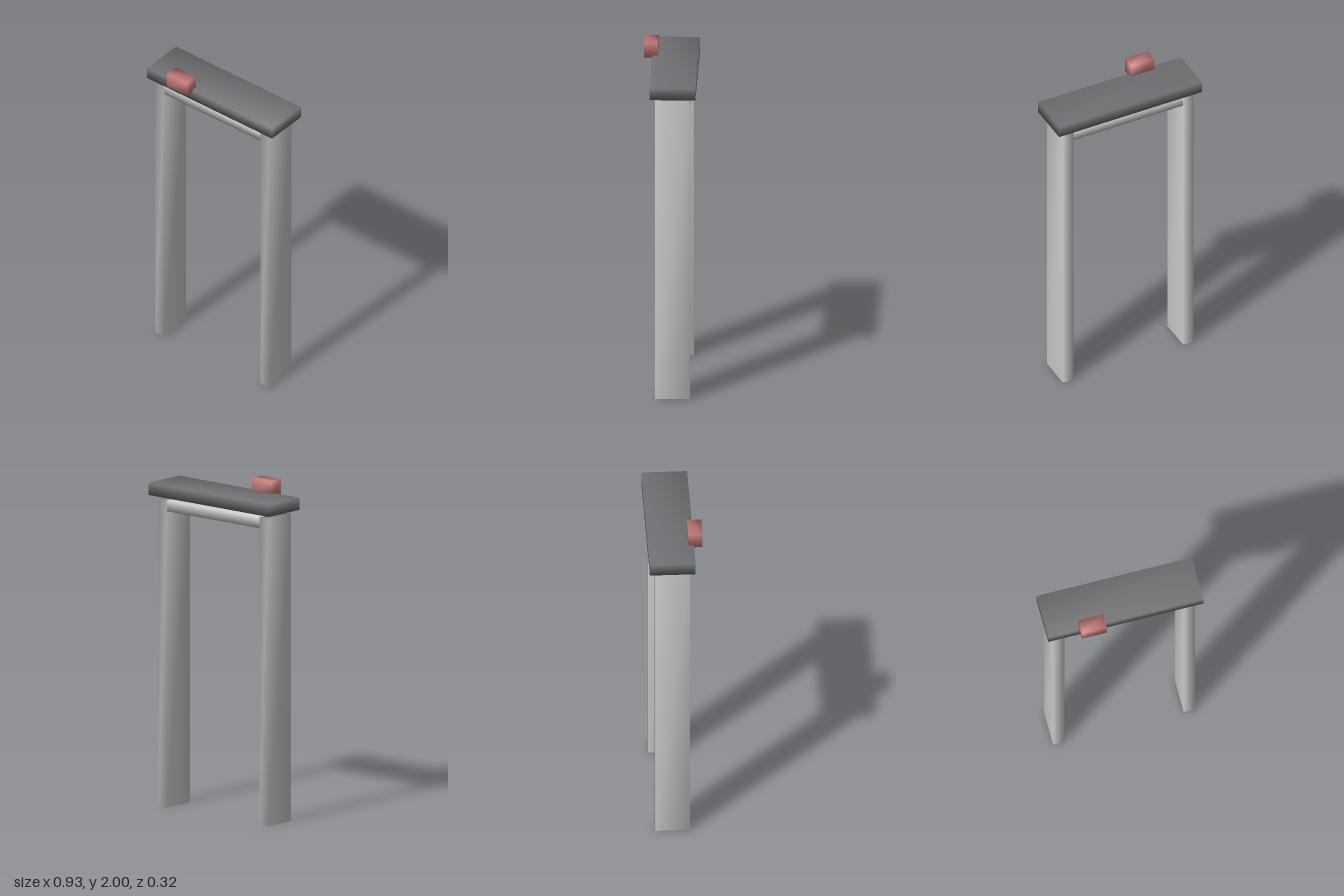
import * as THREE from 'three';
import { mergeVertices } from 'three/addons/utils/BufferGeometryUtils.js';

const stone = new THREE.MeshStandardMaterial({ color: 0xcccccc });
const slate = new THREE.MeshStandardMaterial({ color: 0x707074 });
const red = new THREE.MeshStandardMaterial({ color: 0xc47a78 });

// Block between two corners, with normals shared smoothly across its edges
function block(name, material, [x0, y0, z0], [x1, y1, z1]) {
  let geometry = new THREE.BoxGeometry(x1 - x0, y1 - y0, z1 - z0);
  geometry.deleteAttribute('uv');
  geometry.deleteAttribute('normal');
  geometry = mergeVertices(geometry);
  geometry.computeVertexNormals();
  const mesh = new THREE.Mesh(geometry, material);
  mesh.name = name;
  mesh.position.set((x0 + x1) / 2, (y0 + y1) / 2, (z0 + z1) / 2);
  return mesh;
}

export function createModel() {
  const group = new THREE.Group();
  group.name = 'gateway';

  // Upright posts
  group.add(block('rightPost', stone, [-0.43, 0, -0.126], [-0.363, 1.83, 0.077]));
  group.add(block('leftPost', stone, [0.357, 0, -0.126], [0.424, 1.83, 0.077]));

  // Crossbeam running into both posts, just inside their faces
  group.add(block('crossbeam', stone, [-0.428, 1.765, -0.125], [0.422, 1.829, 0.076]));

  // Cap slab floating slightly above the posts
  group.add(block('capSlab', slate, [-0.467, 1.852, -0.16], [0.467, 1.925, 0.107]));

  // Small block overhanging the front edge of the slab
  group.add(block('redBlock', red, [-0.278, 1.91, 0.075], [-0.128, 2, 0.158]));

  return group;
}
